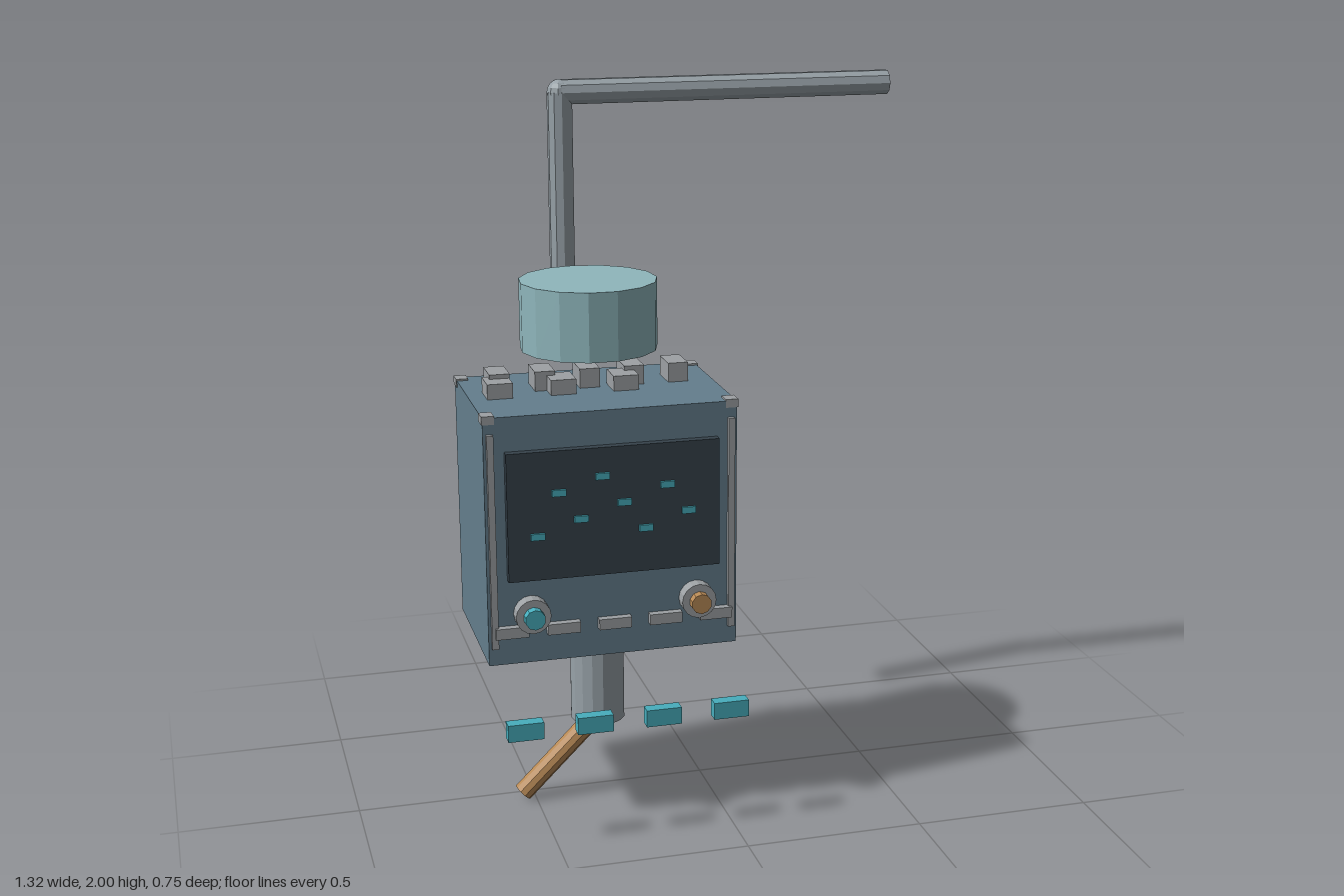
import * as THREE from 'three';

const mat = (name, color) => {
  const m = new THREE.MeshStandardMaterial({ color, flatShading: true });
  m.name = name;
  return m;
};

export function createModel() {
  const casing = mat('casing blue grey', 0x647e8d);
  const drumTeal = mat('pale teal', 0x8fb6bc);
  const glass = mat('dark screen', 0x36424b);
  const trim = mat('trim grey', 0x9da1a4);
  const steel = mat('steel', 0x98a2a8);
  const copper = mat('copper', 0xb88a56);
  const cyan = mat('cyan', 0x48aebd);

  const model = new THREE.Group();
  const add = (name, geometry, material, x, y, z) => {
    const mesh = new THREE.Mesh(geometry, material);
    mesh.name = name;
    mesh.position.set(x, y, z);
    model.add(mesh);
    return mesh;
  };
  // Box given by its limits on each axis
  const box = (name, material, x0, x1, y0, y1, z0, z1) =>
    add(name, new THREE.BoxGeometry(x1 - x0, y1 - y0, z1 - z0), material,
      (x0 + x1) / 2, (y0 + y1) / 2, (z0 + z1) / 2);
  // Cylinder running between two points
  const rod = (name, material, a, b, r, sides) => {
    const from = new THREE.Vector3(...a), to = new THREE.Vector3(...b);
    const dir = to.clone().sub(from);
    const mid = from.clone().add(to).multiplyScalar(0.5);
    const mesh = add(name, new THREE.CylinderGeometry(r, r, dir.length(), sides), material, mid.x, mid.y, mid.z);
    mesh.quaternion.setFromUnitVectors(new THREE.Vector3(0, 1, 0), dir.normalize());
    return mesh;
  };

  const cx = -0.315, cz = 0.044;

  // Main casing with small caps on its top corners
  box('casing', casing, -0.66, 0.03, 0.51, 1.2, -0.18, 0.268);
  for (const sx of [-1, 1]) for (const sz of [-1, 1]) {
    const x = cx + sx * 0.331, z = cz + sz * 0.204;
    box('cornerCap', trim, x - 0.017, x + 0.017, 1.182, 1.205, z - 0.022, z + 0.022);
  }

  // Screen with small markers
  box('screen', glass, -0.605, -0.025, 0.75, 1.105, 0.26, 0.292);
  const markerHeights = [0.873, 0.99, 0.913, 1.027, 0.95, 0.873, 0.99, 0.913];
  markerHeights.forEach((y, i) => {
    const x = -0.525 + i * 0.0591;
    box('screenMarker', cyan, x - 0.019, x + 0.019, y - 0.009, y + 0.009, 0.291, 0.3);
  });

  // Side rails and the row of keys
  for (const s of [-1, 1]) {
    const x = cx + s * 0.328;
    box('sideRail', trim, x - 0.009, x + 0.009, 0.56, 1.155, 0.26, 0.281);
  }
  for (let i = 0; i < 5; i++) {
    const x = cx + (i - 2) * 0.1415;
    box('key', trim, x - 0.045, x + 0.045, 0.59, 0.62, 0.26, 0.29);
  }

  // Two dials, each a collar with a coloured knob
  for (const [x, m] of [[-0.543, cyan], [-0.085, copper]]) {
    rod('dialCollar', trim, [x, 0.653, 0.26], [x, 0.653, 0.307], 0.048, 16);
    rod('dialKnob', m, [x, 0.653, 0.3], [x, 0.653, 0.333], 0.028, 10);
  }

  // Blocks on the lid: a tall row and a shorter row in front
  for (let i = 0; i < 5; i++) {
    const x = cx + (i - 2) * 0.125 - 0.005;
    box('tallLidBlock', trim, x - 0.028, x + 0.028, 1.19, 1.254, -0.064, 0.03);
  }
  for (let i = 0; i < 3; i++) {
    const x = -0.579 + i * 0.174;
    box('shortLidBlock', trim, x - 0.035, x + 0.035, 1.19, 1.242, 0, 0.086);
  }

  // Drum floating above the lid
  add('drum', new THREE.CylinderGeometry(0.19, 0.19, 0.19, 15, 1, false, Math.PI), drumTeal, cx, 1.403, 0);

  // Crank behind the drum
  const ez = -0.338, ey = 1.964, r = 0.036;
  rod('crankUpright', steel, [cx, 1.34, ez], [cx, ey, ez], r, 10);
  rod('crankArm', steel, [cx, ey, ez], [0.66, ey, ez], r, 10);
  add('crankElbow', new THREE.SphereGeometry(r, 10, 8), steel, cx, ey, ez);

  // Spout and angled rod underneath
  rod('spout', steel, [cx, 0.235, cz], [cx, 0.52, cz], 0.077, 16);
  rod('angledRod', copper, [-0.537, 0.02, cz], [-0.315, 0.24, cz], 0.028, 10);

  // Row of floating blocks in front
  for (let i = 0; i < 4; i++) {
    const x = -0.583 + i * 0.1905;
    box('floatingBlock', cyan, x - 0.049, x + 0.049, 0.328, 0.376, 0.337, 0.373);
  }

  return model;
}
